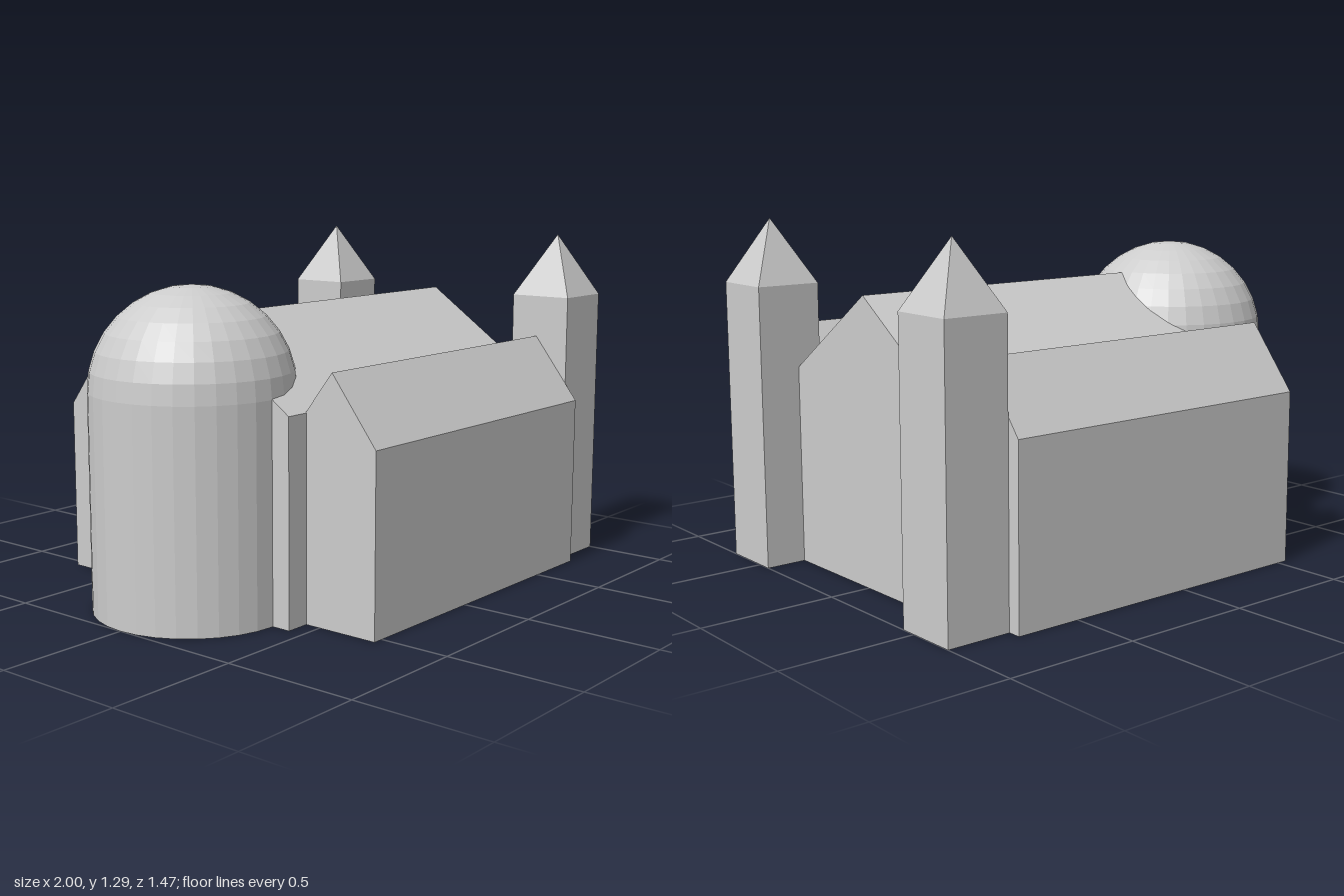
import * as THREE from 'three';

export function createModel() {
  const model = new THREE.Group();
  const stone = new THREE.MeshStandardMaterial({ color: 0xcccccc, flatShading: true });
  stone.name = 'pale stone';

  function add(name, geometry, x = 0, y = 0, z = 0, parent = model) {
    const mesh = new THREE.Mesh(geometry, stone);
    mesh.name = name;
    mesh.position.set(x, y, z);
    parent.add(mesh);
    return mesh;
  }

  // Gabled hall whose ridge runs along x
  function hall(x0, x1, halfWidth, eaves, ridge) {
    const gable = new THREE.Shape([
      new THREE.Vector2(-halfWidth, 0),
      new THREE.Vector2(halfWidth, 0),
      new THREE.Vector2(halfWidth, eaves),
      new THREE.Vector2(0, ridge),
      new THREE.Vector2(-halfWidth, eaves),
    ]);
    return new THREE.ExtrudeGeometry(gable, { depth: x1 - x0, bevelEnabled: false })
      .rotateY(Math.PI / 2)
      .translate(x0, 0, 0);
  }

  add('nave', hall(-0.632, 0.845, 0.441, 0.742, 1.047));

  // Round apse and its dome, turned as one closed profile
  const r = 0.368, wall = 0.79, rings = 8;
  const profile = [new THREE.Vector2(0, 0), new THREE.Vector2(r, 0)];
  for (let i = 0; i <= rings; i++) {
    const a = (i / rings) * Math.PI / 2;
    profile.push(new THREE.Vector2(i === rings ? 0 : r * Math.cos(a), wall + r * Math.sin(a)));
  }
  add('domedApse', new THREE.LatheGeometry(profile, 32), -0.632);

  // Side aisles and corner towers, one of each per side
  const half = 0.123, towerHeight = 1.048, spire = 0.238;
  for (const [side, s] of [['front', 1], ['back', -1]]) {
    add(side + 'Aisle', hall(-0.54, 0.753, 0.185, 0.65, 0.89), 0, 0, s * 0.551);

    const tower = new THREE.Group();
    tower.name = side + 'Tower';
    tower.position.set(0.877, 0, s * 0.564);
    add('towerShaft', new THREE.BoxGeometry(half * 2, towerHeight, half * 2), 0, towerHeight / 2, 0, tower);
    const roof = new THREE.ConeGeometry(half * Math.SQRT2, spire, 4, 1, true).rotateY(Math.PI / 4);
    add('towerSpire', roof, 0, towerHeight + spire / 2, 0, tower);
    model.add(tower);
  }

  return model;
}
